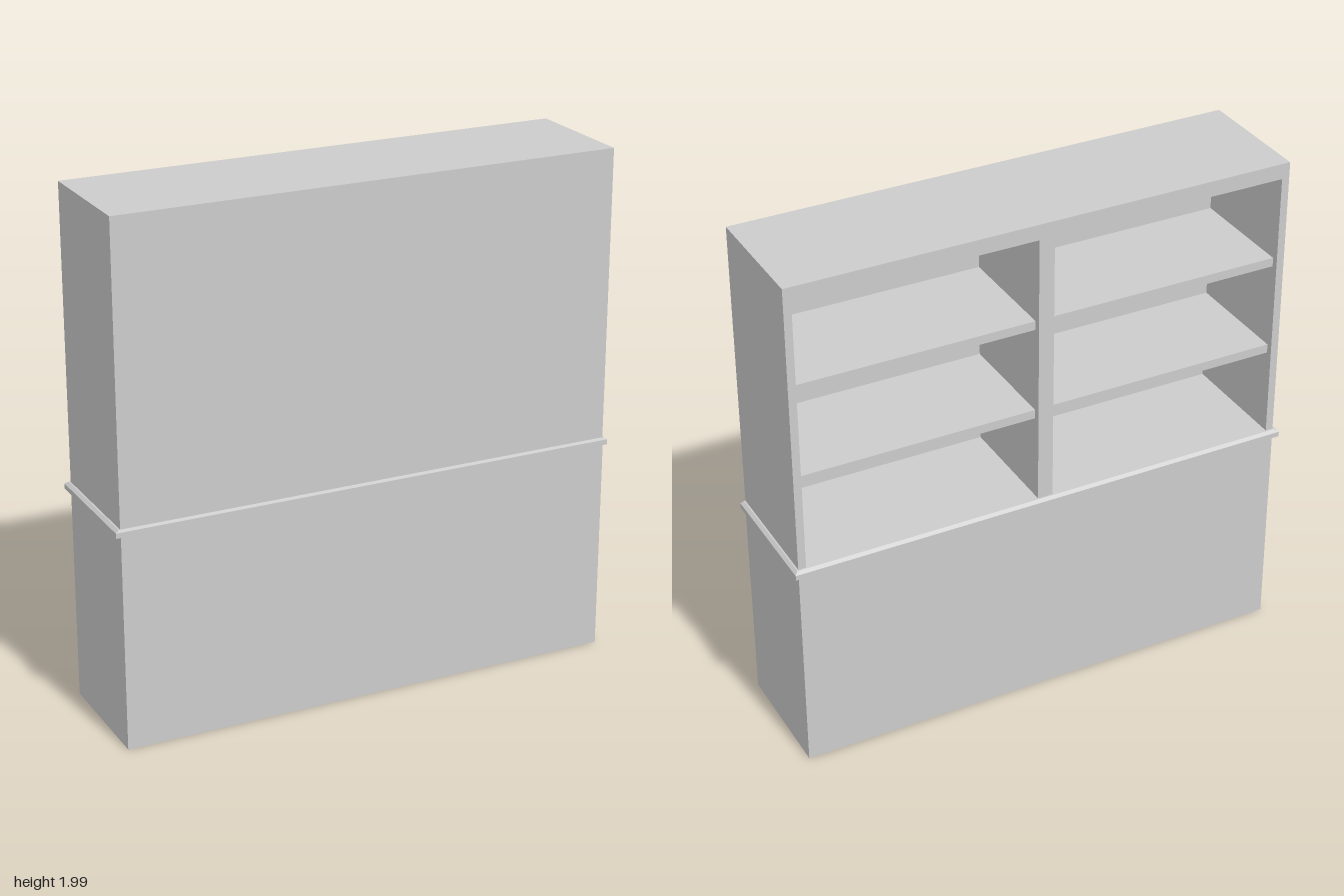
import * as THREE from 'three';

const material = new THREE.MeshStandardMaterial({ color: 0xcccccc, flatShading: true });

// Box given by its min and max corners
function block(name, [x0, y0, z0], [x1, y1, z1]) {
  const geo = new THREE.BoxGeometry(x1 - x0, y1 - y0, z1 - z0);
  geo.translate((x0 + x1) / 2, (y0 + y1) / 2, (z0 + z1) / 2);
  const mesh = new THREE.Mesh(geo, material);
  mesh.name = name;
  return mesh;
}

export function createModel() {
  const model = new THREE.Group();
  model.name = 'bookcase';

  const W = 0.982;               // half width of the carcass
  const back = -0.235;           // open side
  const front = 0.248;           // closed side
  const ledgeTop = 0.86, top = 1.99;
  const side = 0.03, rail = 0.06, panel = 0.02, post = 0.03;
  const ceiling = top - rail;

  // Closed lower cabinet
  model.add(block('lowerCabinet', [-W, 0, back], [W, 0.83, 0.253]));

  // Projecting ledge with a bevelled upper edge
  model.add(block('ledge', [-1, 0.83, -0.253], [1, 0.85, 0.253]));
  const bevel = block('ledgeBevel', [-1, 0.85, -0.253], [1, ledgeTop, 0.253]);
  const p = bevel.geometry.attributes.position;
  for (let i = 0; i < p.count; i++) {
    if (p.getY(i) > 0.855) {
      p.setX(i, Math.sign(p.getX(i)) * 0.988);
      p.setZ(i, p.getZ(i) < 0 ? -0.241 : front);
    }
  }
  bevel.geometry.computeVertexNormals();
  model.add(bevel);

  // Upper carcass: top, closing panel, sides and central divider
  model.add(block('topBoard', [-W, ceiling, back], [W, top, front]));
  model.add(block('closingPanel', [-W, ledgeTop, front - panel], [W, ceiling, front]));
  model.add(block('leftSide', [W - side, ledgeTop, back], [W, ceiling, front - panel]));
  model.add(block('rightSide', [-W, ledgeTop, back], [-W + side, ceiling, front - panel]));
  model.add(block('divider', [-post, ledgeTop, back], [post, ceiling, front - panel]));

  // Two evenly spaced shelves in each bay, set back slightly
  const thick = 0.035;
  const gap = (ceiling - ledgeTop - 2 * thick) / 3;
  for (const [bay, x0, x1] of [['left', post, W - side], ['right', -W + side, -post]]) {
    for (let i = 0; i < 2; i++) {
      const y = ledgeTop + gap + i * (gap + thick);
      model.add(block(`${bay}Shelf${i + 1}`, [x0, y, back + 0.025], [x1, y + thick, front - panel]));
    }
  }
  return model;
}
